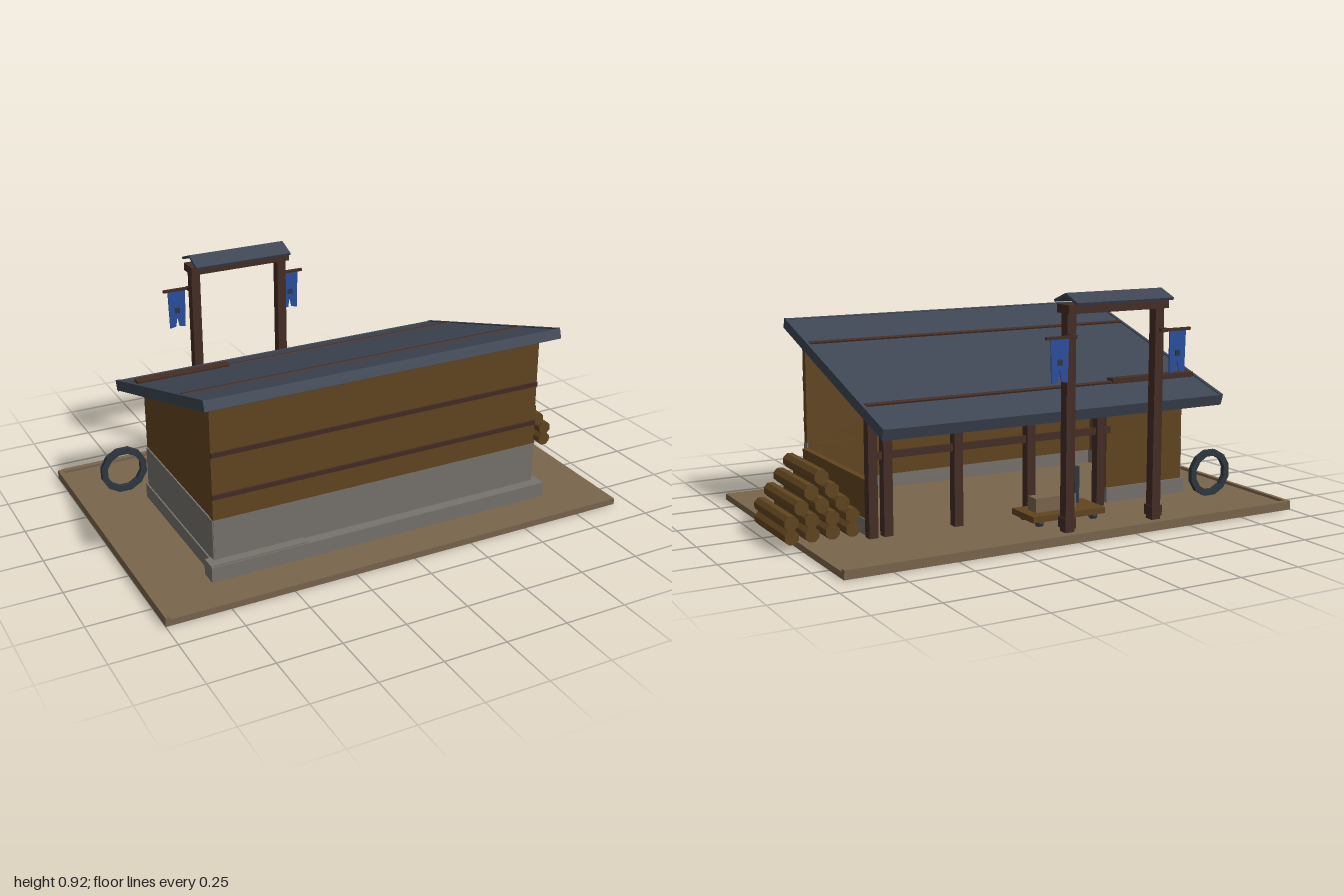
import * as THREE from 'three';

const mat = (name, color, side = THREE.FrontSide) => {
  const m = new THREE.MeshStandardMaterial({ color, side });
  m.name = name;
  return m;
};

export function createModel() {
  const root = new THREE.Group();
  root.name = 'woodShed';
  const earth = mat('packed earth', 0x7a654d);
  const wall = mat('plank brown', 0x624520);
  const stone = mat('foundation stone', 0x77726c);
  const wood = mat('dark timber', 0x452d25);
  const slate = mat('roof slate', 0x3e4654);
  const iron = mat('dark iron', 0x2f3740);
  const blue = mat('banner blue', 0x2a50a0, THREE.DoubleSide);

  const add = (name, geo, m, parent = root) => {
    const mesh = new THREE.Mesh(geo, m);
    mesh.name = name;
    parent.add(mesh);
    return mesh;
  };
  // Box given by its limits on each axis
  const box = (name, m, x0, x1, y0, y1, z0, z1, parent = root) => {
    const b = add(name, new THREE.BoxGeometry(x1 - x0, y1 - y0, z1 - z0), m, parent);
    b.position.set((x0 + x1) / 2, (y0 + y1) / 2, (z0 + z1) / 2);
    return b;
  };

  // Ground plate and its edging
  box('ground', earth, -1, 0.935, 0, 0.025, -0.63, 0.63);
  box('leftEdging', earth, -1, -0.982, 0.025, 0.036, -0.63, 0.63);
  box('backEdging', earth, -0.982, 0.935, 0.025, 0.036, -0.635, -0.612);

  // Stone base around the building
  box('frontStep', stone, -0.76, 0.69, 0.025, 0.085, 0.405, 0.475);
  box('frontStepSlab', stone, -0.76, -0.37, 0.085, 0.09, 0.41, 0.47);
  box('rightPlinth', stone, 0.655, 0.685, 0.025, 0.085, -0.25, 0.405);
  box('leftPlinth', stone, -0.74, -0.7, 0.025, 0.085, -0.26, 0.405);
  box('backPlinth', stone, -0.74, -0.36, 0.025, 0.085, -0.262, -0.225);

  // Walls
  box('frontStoneWall', stone, -0.73, 0.662, 0.085, 0.25, 0.4, 0.432);
  box('frontWall', wall, -0.73, 0.66, 0.25, 0.7, 0.4, 0.43);
  box('frontWallLining', wall, -0.7, 0.655, 0.085, 0.25, 0.394, 0.4);
  const side = new THREE.Shape([[-0.25, 0.085], [0.4, 0.085], [0.4, 0.695], [-0.25, 0.495]]
    .map(([z, y]) => new THREE.Vector2(-z, y)));
  const leftWall = add('leftWall',
    new THREE.ExtrudeGeometry(side, { depth: 0.028, bevelEnabled: false }), wall);
  leftWall.rotation.y = Math.PI / 2;
  leftWall.position.x = -0.728;
  box('leftStoneFacing', stone, -0.734, -0.727, 0.085, 0.25, -0.25, 0.43);
  box('backWall', wall, -0.728, -0.36, 0.085, 0.5, -0.255, -0.228);
  box('rightLowWall', wall, 0.655, 0.68, 0.085, 0.232, -0.25, 0.4);
  for (const y of [0.345, 0.512, 0.695])
    box('wallBatten', wood, -0.73, 0.66, y - 0.009, y + 0.009, 0.428, 0.437);

  // Open back: posts, header and rail
  for (const x of [0.675, 0.615, 0.325, 0.01, -0.31])
    box('post', wood, x - 0.018, x + 0.018, 0.025, 0.5, -0.293, -0.255);
  box('headerBeam', wood, -0.36, 0.69, 0.465, 0.495, -0.29, -0.258);
  box('backBeam', wood, -0.75, -0.36, 0.49, 0.535, -0.297, -0.255);
  box('rail', wood, -0.36, 0.69, 0.315, 0.342, -0.282, -0.266);

  // Single pitch roof
  const roof = new THREE.Group();
  roof.name = 'roof';
  roof.position.set(-0.03, 0.608, 0.01);
  roof.rotation.x = -Math.atan(0.305);
  root.add(roof);
  box('roofSlab', slate, -0.735, 0.735, -0.03, 0, -0.497, 0.497, roof);
  for (const s of [-1, 1])
    box('bargeBoard', slate, s * 0.735 - 0.007, s * 0.735 + 0.007, -0.038, 0.004, -0.5, 0.5, roof);
  box('frontFascia', slate, -0.74, 0.74, -0.038, 0.002, 0.49, 0.501, roof);
  box('backFascia', slate, -0.74, 0.74, -0.042, 0.002, -0.501, -0.49, roof);
  for (const z of [-0.307, 0.251])
    box('roofBatten', wood, -0.73, 0.73, -0.002, 0.006, z - 0.009, z + 0.009, roof);

  // Stacked logs
  const logs = new THREE.Group();
  logs.name = 'logPile';
  root.add(logs);
  [4, 4, 3, 2, 1].forEach((n, row) => {
    for (let i = 0; i < n; i++) {
      const geo = new THREE.CylinderGeometry(0.029, 0.029, 0.325, 8).toNonIndexed();
      geo.rotateY(Math.PI / 8);
      geo.rotateX(Math.PI / 2);
      geo.computeVertexNormals();
      add('log', geo, wall, logs).position.set(
        0.851 + (i - (n - 1) / 2) * 0.079, 0.054 + row * 0.0525, -0.073);
    }
  });

  // Gate: two posts, crossbeam, little ridge roof
  const gate = new THREE.Group();
  gate.name = 'gate';
  root.add(gate);
  for (const x of [-0.383, 0.006]) {
    box('gatePost', wood, x - 0.019, x + 0.019, 0.025, 0.85, -0.57, -0.53, gate);
    box('gatePostFoot', wood, x - 0.023, x + 0.023, 0.04, 0.08, -0.576, -0.524, gate);
  }
  box('gateBeam', wood, -0.408, 0.032, 0.842, 0.874, -0.592, -0.508, gate);
  for (const s of [-1, 1]) {
    const slab = add('gateRoofSlab', new THREE.BoxGeometry(0.422, 0.01, 0.085), slate, gate);
    slab.position.set(-0.189, 0.896, -0.552 + s * 0.039);
    slab.rotation.x = s * 0.36;
  }

  // Rods with swallow-tailed banners
  const tail = new THREE.Shape([[-0.038, 0.755], [0.038, 0.755], [0.034, 0.595], [0.008, 0.6],
    [0, 0.645], [-0.008, 0.6], [-0.034, 0.595]].reverse().map(([x, y]) => new THREE.Vector2(x, y)));
  for (const [x, x0, x1] of [[-0.447, -0.505, -0.37], [0.072, 0, 0.13]]) {
    box('bannerRod', wood, x0, x1, 0.755, 0.766, -0.6, -0.589, gate);
    box('rodBracket', wood, x < -0.2 ? -0.4 : 0, x < -0.2 ? -0.38 : 0.02, 0.753, 0.768, -0.6, -0.55, gate);
    const banner = add('banner', new THREE.ExtrudeGeometry(tail, { depth: 0.005, bevelEnabled: false }), blue, gate);
    banner.position.set(x, 0, -0.597);
    box('bannerMark', iron, x - 0.011, x + 0.011, 0.66, 0.682, -0.6, -0.589, gate);
  }

  // Hand cart with crate
  const cart = new THREE.Group();
  cart.name = 'cart';
  root.add(cart);
  box('cartBed', wall, -0.22, 0.1, 0.046, 0.07, -0.462, -0.302, cart);
  box('crate', earth, -0.12, 0.06, 0.07, 0.125, -0.412, -0.355, cart);
  box('cartHandle', iron, -0.17, -0.15, 0.03, 0.215, -0.355, -0.337, cart);
  for (const x of [-0.18, 0.06]) for (const z of [-0.325, -0.437]) {
    const wheel = add('cartWheel', new THREE.CylinderGeometry(0.019, 0.019, 0.02, 10), slate, cart);
    wheel.rotation.z = Math.PI / 2;
    wheel.position.set(x, 0.042, z);
  }

  // Iron hoop leaning by the left wall
  const hoopShape = new THREE.Shape();
  const hole = new THREE.Path();
  for (let i = 0; i < 12; i++) {
    const a = (i + 0.5) / 12 * Math.PI * 2;
    const put = (p, r) => p[i ? 'lineTo' : 'moveTo'](Math.cos(a) * r, Math.sin(a) * r);
    put(hoopShape, 0.098);
    put(hole, 0.072);
  }
  hoopShape.holes.push(hole);
  const hoop = add('hoop', new THREE.ExtrudeGeometry(hoopShape, { depth: 0.02, bevelEnabled: false }), iron);
  hoop.position.set(-0.8, 0.12, -0.365);

  return root;
}
